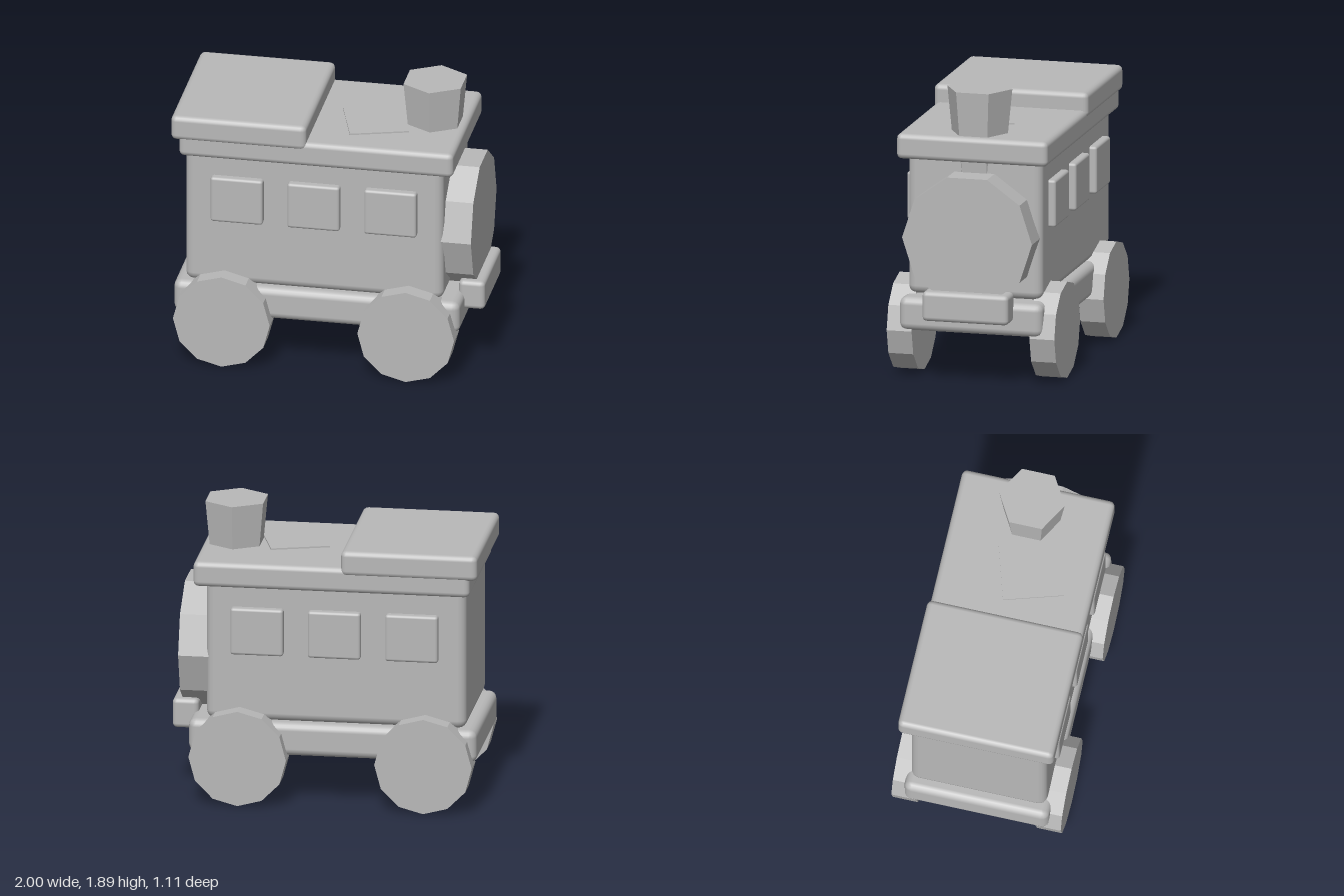
import * as THREE from 'three';
import { RoundedBoxGeometry } from 'three/addons/geometries/RoundedBoxGeometry.js';

export function createModel() {
  const train = new THREE.Group();
  train.name = 'toyTrain';
  const grey = new THREE.MeshStandardMaterial({ color: 0xb8b8b8 });
  grey.name = 'grey';

  const add = (name, geometry, x, y, z) => {
    const mesh = new THREE.Mesh(geometry, grey);
    mesh.name = name;
    mesh.position.set(x, y, z);
    train.add(mesh);
    return mesh;
  };

  // Soft-edged box given by its extents
  const block = (name, [x0, x1], [y0, y1], [z0, z1], radius) =>
    add(name, new RoundedBoxGeometry(x1 - x0, y1 - y0, z1 - z0, 2, radius),
      (x0 + x1) / 2, (y0 + y1) / 2, (z0 + z1) / 2);

  // Faceted cylinder with hard edges
  const drum = (top, bottom, height, sides) => {
    const g = new THREE.CylinderGeometry(top, bottom, height, sides).toNonIndexed();
    g.computeVertexNormals();
    return g;
  };

  // Carriage, chassis and roofs
  block('chassis', [-0.99, 0.87], [0.32, 0.54], [-0.475, 0.475], 0.05);
  block('body', [-0.92, 0.76], [0.54, 1.5], [-0.445, 0.445], 0.055);
  block('roof', [-0.95, 0.835], [1.435, 1.6], [-0.5, 0.5], 0.035);
  block('cabRoof', [-1, -0.12], [1.55, 1.715], [-0.51, 0.51], 0.035);
  block('bumper', [0.83, 1], [0.42, 0.615], [-0.285, 0.285], 0.03);

  // Low hatch set askew in the roof
  add('roofHatch', new THREE.BoxGeometry(0.38, 0.04, 0.39), 0.255, 1.59, 0.08).rotation.y = 0.3;

  // Boiler and flared chimney
  add('boiler', drum(0.43, 0.43, 0.5, 10).rotateZ(-Math.PI / 2), 0.69, 0.95, 0);
  add('chimney', drum(0.215, 0.15, 0.65, 6), 0.625, 1.565, 0);

  // Windows and wheels on both sides
  for (const side of [-1, 1]) {
    for (const x of [-0.575, -0.075, 0.425]) {
      add('window', new RoundedBoxGeometry(0.34, 0.31, 0.12, 2, 0.018), x, 1.145, side * 0.433);
    }
    for (const x of [-0.66, 0.54]) {
      add('wheel', drum(0.315, 0.315, 0.165, 12).rotateX(Math.PI / 2), x, 0.315, side * 0.4725);
    }
  }
  return train;
}
